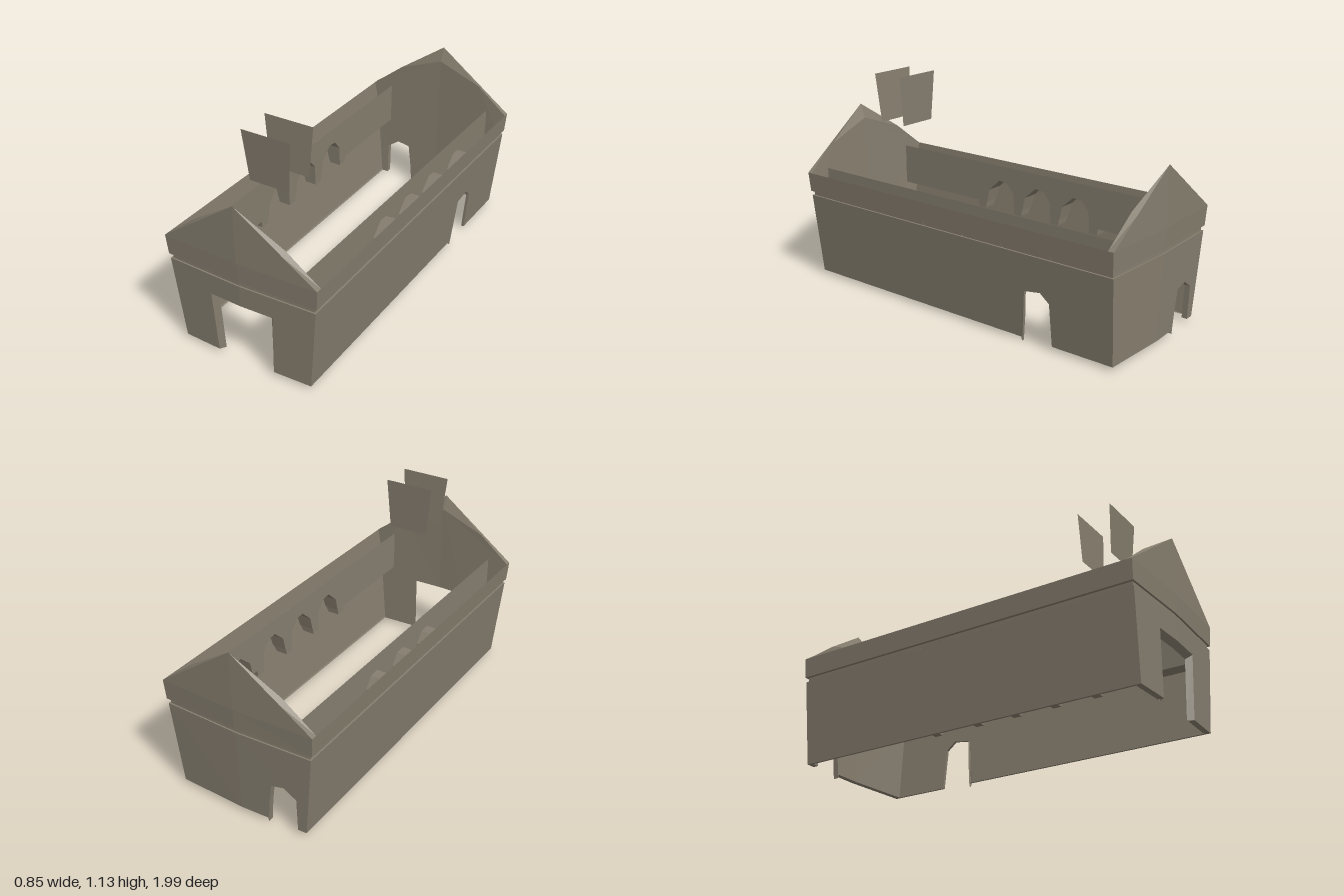
import * as THREE from 'three';

const stone = new THREE.MeshStandardMaterial({ color: 0x857d6e, side: THREE.DoubleSide, flatShading: true });
stone.name = 'weathered stone';

const V = (x, y, z) => new THREE.Vector3(x, y, z);

// Half width and half length of the outward-leaning walls at height y
const rise = (y) => Math.max(y - 0.02, 0);
const halfWidth = (y) => (y > 0.48 ? 0.417 + (Math.min(y, 0.6) - 0.495) * 0.08 : 0.365 + rise(y) * 0.1);
const halfLength = (y) => (y > 0.48 ? 0.977 + (Math.min(y, 0.6) - 0.495) * 0.05 : 0.96 + rise(y) * 0.034);

// Wall coordinates: u runs -1..1 along the wall, inset moves inwards
const onSide = (s, inset = 0) => (u, y) => V(s * (halfWidth(y) - inset), y, u * halfLength(y));
const onEnd = (s, inset = 0) => (u, y) =>
  V(u * halfWidth(y), y, s * (halfLength(y) + 0.015 * (1 - Math.abs(u)) - inset));

function addMesh(group, name, geometry) {
  const flat = geometry.index ? geometry.toNonIndexed() : geometry;
  flat.computeVertexNormals();
  const mesh = new THREE.Mesh(flat, stone);
  mesh.name = name;
  group.add(mesh);
}

// Flat outline laid onto a wall
function panel(group, name, points, place) {
  const shape = new THREE.Shape(points.map(([u, y]) => new THREE.Vector2(u, y)));
  const geo = new THREE.ShapeGeometry(shape);
  const pos = geo.attributes.position;
  for (let i = 0; i < pos.count; i++) {
    const p = place(pos.getX(i), pos.getY(i));
    pos.setXYZ(i, p.x, p.y, p.z);
  }
  addMesh(group, name, geo);
}

// Strip of quads between two equally long paths
function ribbon(group, name, a, b) {
  const pts = [];
  for (let i = 0; i + 1 < a.length; i++) pts.push(a[i], b[i], b[i + 1], a[i], b[i + 1], a[i + 1]);
  addMesh(group, name, new THREE.BufferGeometry().setFromPoints(pts));
}

const mapTo = (points, place) => points.map(([u, y]) => place(u, y));

// Closed ring around the building, with slightly bowed ends
function ring([y, w, d]) {
  const pts = [V(w, y, d), V(0, y, d + 0.015), V(-w, y, d), V(-w, y, -d), V(0, y, -d - 0.015), V(w, y, -d)];
  return [...pts, pts[0]];
}

// Door outlines
const frontDoor = [[-0.44, 0.02], [-0.44, 0.355], [0, 0.355], [0.44, 0.355], [0.44, 0.02]];
const frontDoorInner = [[-0.385, 0.02], [-0.38, 0.33], [0, 0.33], [0.38, 0.33], [0.385, 0.02]];
const sideDoor = [[-0.645, 0.02], [-0.635, 0.245], [-0.582, 0.29], [-0.485, 0.275], [-0.475, 0.14], [-0.46, 0.0]];
const backDoor = [[-0.87, 0.02], [-0.83, 0.2], [-0.65, 0.245], [-0.47, 0.23], [-0.44, 0.12], [-0.42, 0.0]];

function lowerWalls() {
  const g = new THREE.Group();
  g.name = 'lowerWalls';
  panel(g, 'leftWall', [[-1, 0.02], ...sideDoor, [-0.455, 0.02], [1, 0.02], [1, 0.47], [-1, 0.47]], onSide(1));
  panel(g, 'rightWall', [[-1, 0.02], [1, 0.02], [1, 0.47], [-1, 0.47]], onSide(-1));
  for (const m of [-1, 1]) {
    const half = [[0.44, 0.02], [1, 0.02], [1, 0.47], [0, 0.47], [0, 0.355], [0.44, 0.355]];
    panel(g, 'frontWall', half.map(([u, y]) => [u * m, y]), onEnd(1));
  }
  panel(g, 'backWall', [[-1, 0.02], ...backDoor, [-0.415, 0.02], [0, 0.02], [0, 0.47], [-1, 0.47]], onEnd(-1));
  panel(g, 'backWall', [[0, 0.02], [1, 0.02], [1, 0.47], [0, 0.47]], onEnd(-1));

  // Door reveals
  ribbon(g, 'frontDoorReveal', mapTo(frontDoor, onEnd(1)), mapTo(frontDoorInner, onEnd(1, 0.03)));
  ribbon(g, 'sideDoorReveal', mapTo(sideDoor, onSide(1)), mapTo(sideDoor, onSide(1, 0.015)));
  ribbon(g, 'backDoorReveal', mapTo(backDoor, onEnd(-1)), mapTo(backDoor, onEnd(-1, 0.03)));

  // Narrow lip under each stretch of wall
  const lips = [
    [onSide, 1, -1, -0.645], [onSide, 1, -0.46, 1], [onSide, -1, -1, 1],
    [onEnd, 1, -1, -0.44], [onEnd, 1, 0.44, 1],
    [onEnd, -1, -1, -0.87], [onEnd, -1, -0.42, 0], [onEnd, -1, 0, 1],
  ];
  for (const [place, s, from, to] of lips) {
    const line = [[from, 0.02], [to, 0.02]];
    ribbon(g, 'wallFootLip', mapTo(line, place(s)), mapTo(line, place(s, place === onSide ? 0.012 : 0.03)));
  }
  return g;
}

function eavesBand() {
  const g = new THREE.Group();
  g.name = 'eavesBand';
  const rows = [
    [0.47, 0.41, 0.975], [0.47, 0.4, 0.967], [0.495, 0.402, 0.967],
    [0.495, 0.417, 0.977], [0.6, 0.4254, 0.982],
  ];
  for (let i = 0; i + 1 < rows.length; i++) {
    ribbon(g, i === 3 ? 'eaves' : 'eavesGroove', ring(rows[i]), ring(rows[i + 1]));
  }
  return g;
}

function gable(s) {
  const g = new THREE.Group();
  g.name = s > 0 ? 'frontGable' : 'backGable';
  for (const m of [-1, 1]) {
    const flip = (pts) => pts.map(([u, y]) => [u * m, y]);
    panel(g, 'gableFace', flip([[0, 0.6], [1, 0.6], [0, 0.906]]), onEnd(s));
    // Inner lining with a blunter top, joined to the outer rake
    const top = [[1, 0.6], [0.59, 0.737], [0, 0.83]];
    const foot = s > 0 ? [[0, 0.33], [0.38, 0.33], [0.385, 0.02], [0.97, 0.02]] : [[0, 0.02], [0.97, 0.02]];
    if (s < 0 && m < 0) {
      const door = backDoor.map(([u, y]) => [-u, y]).reverse();
      foot.splice(1, 1, [0.415, 0.02], ...door, [0.97, 0.02]);
    }
    panel(g, 'gableLining', flip([...foot, [0.97, 0.47], ...top]), onEnd(s, 0.03));
    ribbon(g, 'gableCap', mapTo(flip(top), onEnd(s, 0.03)),
      mapTo(flip([[1, 0.6], [0.59, 0.7255], [0, 0.906]]), onEnd(s)));
  }
  return g;
}

// Overhanging inner gallery whose lower edge is cut into piers and arches
function gallery(s, bays) {
  const g = new THREE.Group();
  g.name = s > 0 ? 'leftGallery' : 'rightGallery';
  const edge = [[-0.95, 0.38]];
  const pier = (z) => edge.push([z, 0.38], [z + 0.005, 0.345], [z + 0.055, 0.345]);
  for (const z of bays) {
    pier(z);
    edge.push([z + 0.06, 0.46], [z + 0.105, 0.515], [z + 0.16, 0.52], [z + 0.23, 0.455], [z + 0.247, 0.38]);
  }
  pier(0.33);
  edge.push([0.39, 0.38], [0.95, 0.38]);
  const inner = (z, y) => V(s * 0.31, y, z);
  const outer = (z, y) => V(s * (y < 0.37 ? 0.375 : y > 0.4 ? 0.402 : 0.392), y, z);
  panel(g, 'galleryFace', [...edge, [0.95, 0.605], [-0.95, 0.605]], inner);
  ribbon(g, 'galleryArches', mapTo(edge, inner), mapTo(edge, outer));
  return g;
}

function chimney() {
  const g = new THREE.Group();
  g.name = 'chimney';
  // Two free-standing tapered plates
  for (const [low, high] of [[0.72, 0.737], [0.56, 0.555]]) {
    ribbon(g, 'chimneyPlate', [V(-0.11, 0.863, low), V(0.11, 0.863, low)],
      [V(-0.134, 1.13, high), V(0.134, 1.13, high)]);
  }
  return g;
}

export function createModel() {
  const model = new THREE.Group();
  model.name = 'rooflessHall';
  model.add(
    lowerWalls(), eavesBand(), gable(1), gable(-1),
    gallery(1, [-0.705, -0.42, -0.17, 0.08]), gallery(-1, [-0.42, -0.17, 0.08]),
    chimney(),
  );
  return model;
}
